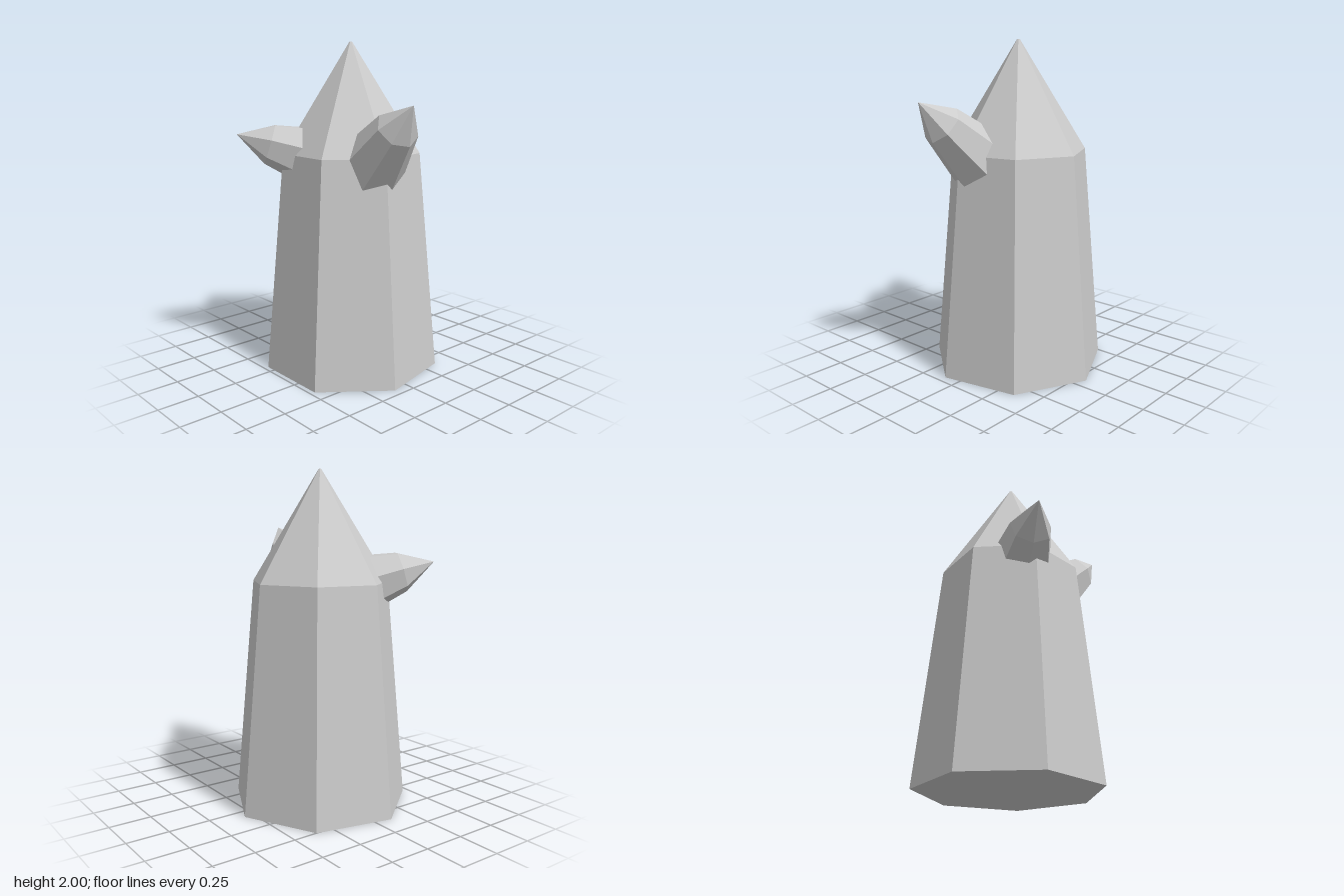
import * as THREE from 'three';

const SIDES = 7;
const material = new THREE.MeshStandardMaterial({ color: 0xcccccc, flatShading: true });

// A faceted crystal: tapering prism with a pointed cap. It grows from base
// along axis; ridge is the direction in which one of its edges lies.
function crystal(name, { base, axis, ridge, baseRadius, shoulderRadius, shoulder, height, tipRadius }) {
  const profile = [
    [0, 0], [baseRadius, 0], [shoulderRadius, shoulder], [tipRadius, height], [0, height],
  ].map(([r, y]) => new THREE.Vector2(r, y));
  const mesh = new THREE.Mesh(new THREE.LatheGeometry(profile, SIDES), material);
  mesh.name = name;

  const up = new THREE.Vector3(...axis).normalize();
  const side = up.clone().cross(new THREE.Vector3(...ridge)).normalize();
  const front = side.clone().cross(up);
  mesh.quaternion.setFromRotationMatrix(new THREE.Matrix4().makeBasis(side, up, front));
  mesh.position.set(...base);
  return mesh;
}

// A small crystal placed by its tip, with its base buried in the main one
function sideCrystal(name, tip, axis, ridge, baseRadius) {
  const height = 0.58;
  const up = new THREE.Vector3(...axis).normalize();
  const base = new THREE.Vector3(...tip).addScaledVector(up, -height).toArray();
  return crystal(name, {
    base, axis, ridge, baseRadius, shoulderRadius: 0.125, shoulder: 0.38, height, tipRadius: 0.002,
  });
}

export function createModel() {
  const group = new THREE.Group();
  group.name = 'crystalCluster';

  // Tall central crystal
  group.add(crystal('mainCrystal', {
    base: [-0.077, 0, -0.018], axis: [0, 1, 0], ridge: [0, 0, -1],
    baseRadius: 0.542, shoulderRadius: 0.42, shoulder: 1.345, height: 2, tipRadius: 0.008,
  }));

  // Two small crystals sprouting from its shoulder
  group.add(sideCrystal('leftCrystal', [0.586, 1.658, 0.128], [0.73, 0.665, 0.15], [-0.57, 0.75, -0.35], 0.208));
  group.add(sideCrystal('rightCrystal', [-0.448, 1.46, 0.555], [-0.54, 0.29, 0.79], [-0.25, 0.85, -0.48], 0.215));

  return group;
}
